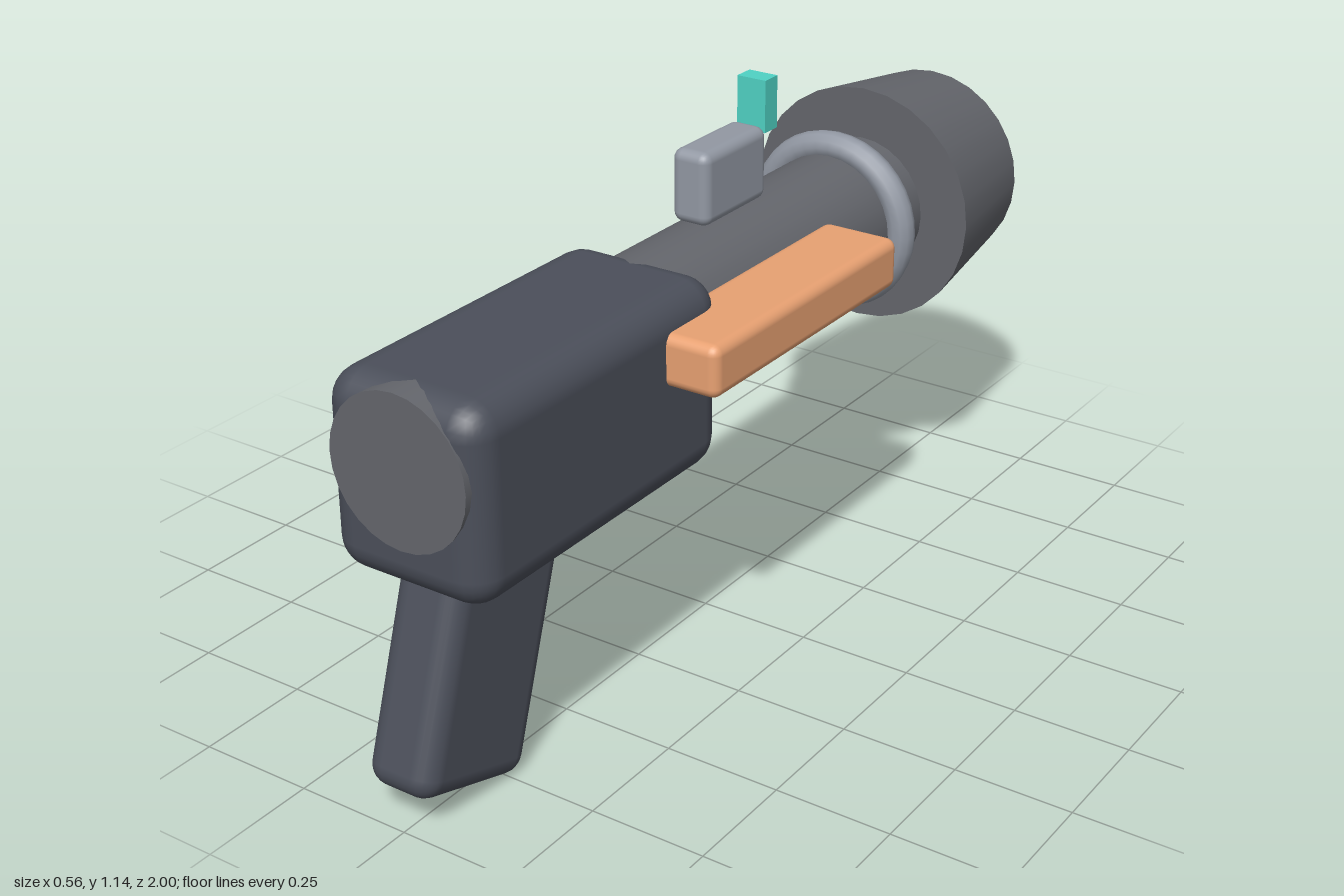
import * as THREE from 'three';
import { RoundedBoxGeometry } from 'three/addons/geometries/RoundedBoxGeometry.js';

const AXIS_X = -0.013, AXIS_Y = 0.729;

const paint = (color) => new THREE.MeshStandardMaterial({ color });

export function createModel() {
  const group = new THREE.Group();
  const dark = paint(0x4b4f5a), steel = paint(0x64666c), light = paint(0x9298a3);
  const orange = paint(0xe8a172), teal = paint(0x50d2c4);

  const add = (name, geometry, material, x, y, z) => {
    const mesh = new THREE.Mesh(geometry, material);
    mesh.name = name;
    mesh.position.set(x, y, z);
    group.add(mesh);
    return mesh;
  };

  // Turned part on the barrel axis, from zFront (radius rFront) back to zBack
  const turned = (name, material, rFront, rBack, zFront, zBack, sides = 28) =>
    add(name, new THREE.CylinderGeometry(rFront, rBack, zFront - zBack, sides).rotateX(Math.PI / 2),
      material, AXIS_X, AXIS_Y, (zFront + zBack) / 2);

  // Soft-edged block
  const block = (name, material, w, h, d, r, x, y, z) =>
    add(name, new RoundedBoxGeometry(w, h, d, 3, r), material, x, y, z);

  // Barrel, flared muzzle and its core
  turned('barrel', steel, 0.156, 0.156, 0.946, -0.66);
  turned('muzzle', steel, 0.27, 0.226, -0.64, -0.955);
  turned('muzzleCore', orange, 0.112, 0.112, -0.9, -1);
  add('barrelRing', new THREE.TorusGeometry(0.171, 0.032, 12, 36), light, AXIS_X, AXIS_Y, -0.523);

  // Body and raked grip
  block('body', dark, 0.361, 0.405, 0.765, 0.067, AXIS_X, 0.683, 0.5625);
  block('grip', dark, 0.158, 0.51, 0.313, 0.045, AXIS_X, 0.285, 0.786).rotation.x = -0.311;

  // Side rail
  block('sideRail', orange, 0.176, 0.11, 0.675, 0.022, 0.193, 0.772, 0.043);

  // Sight and its blade
  block('sight', light, 0.088, 0.156, 0.225, 0.022, AXIS_X, 0.975, -0.07);
  add('sightBlade', new THREE.BoxGeometry(0.068, 0.112, 0.045), teal, AXIS_X, 1.089, -0.208);

  return group;
}
